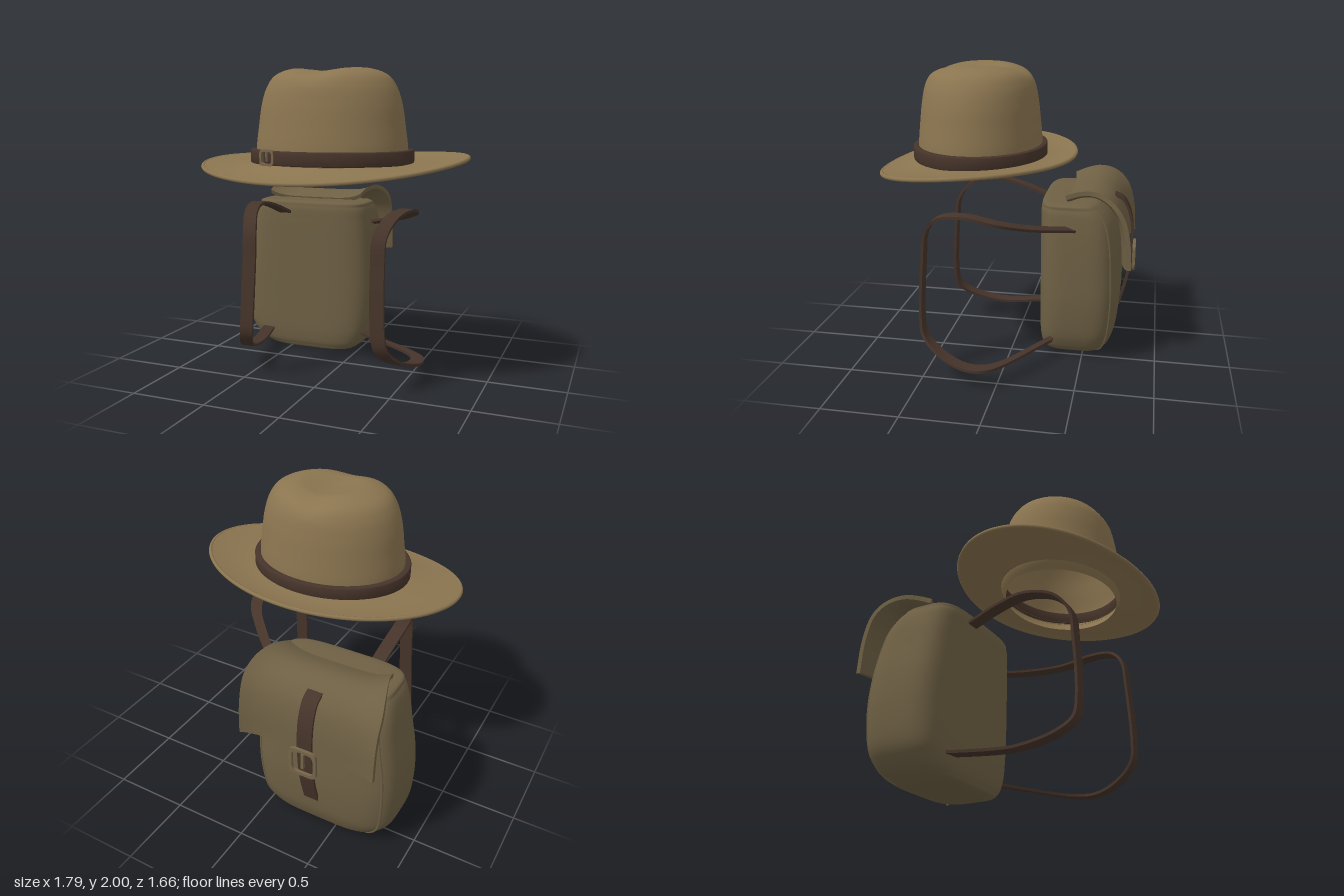
import * as THREE from 'three';
import { toCreasedNormals } from 'three/addons/utils/BufferGeometryUtils.js';
import { ParametricGeometry } from 'three/addons/geometries/ParametricGeometry.js';

const V = (x, y, z) => new THREE.Vector3(x, y, z);
const material = (color) => new THREE.MeshStandardMaterial({ color, side: THREE.DoubleSide });
const felt = material(0x8b7550);
const canvas = material(0x6e6044);
const leather = material(0x46342a);
const brass = material(0x75654a);

function part(name, geometry, mat) {
  const mesh = new THREE.Mesh(geometry, mat);
  mesh.name = name;
  return mesh;
}

// Smooth interpolation through the rows of a small table
function sample(rows, t) {
  const f = THREE.MathUtils.clamp(t, 0, 1) * (rows.length - 1);
  const i = Math.min(Math.floor(f), rows.length - 2), w = f - i;
  const at = (k) => rows[THREE.MathUtils.clamp(k, 0, rows.length - 1)];
  return rows[0].map((_, c) => {
    const [a, b, d, e] = [at(i - 1)[c], at(i)[c], at(i + 1)[c], at(i + 2)[c]];
    return b + 0.5 * w * (d - a + w * (2 * a - 5 * b + 4 * d - e + w * (3 * (b - d) + e - a)));
  });
}

// Flat strip swept along a path, its width lying along x
function ribbon(points, width, thick, { cols = 1, rows = 48, widthAt = () => 1, sag = 0 } = {}) {
  const curve = new THREE.CatmullRomCurve3(points.map((p) => V(...p)), false, 'centripetal');
  const g = new THREE.BoxGeometry(1, thick, 1, cols, 1, rows);
  const p = g.attributes.position;
  for (let i = 0; i < p.count; i++) {
    const t = THREE.MathUtils.clamp(p.getZ(i) + 0.5, 0, 1), x = p.getX(i);
    const c = curve.getPointAt(t);
    const n = curve.getTangentAt(t).cross(V(1, 0, 0)).normalize();
    c.addScaledVector(n, p.getY(i) - sag * Math.pow(Math.abs(2 * x), 5));
    p.setXYZ(i, c.x + x * width * widthAt(t), c.y, c.z);
  }
  g.computeVertexNormals();
  return g;
}

// Rounded buckle frame with a prong, facing +z
function buckle(name, w, h, bar, depth) {
  const outline = (target, a, b, r) => {
    target.moveTo(-a + r, -b).lineTo(a - r, -b).quadraticCurveTo(a, -b, a, -b + r)
      .lineTo(a, b - r).quadraticCurveTo(a, b, a - r, b)
      .lineTo(-a + r, b).quadraticCurveTo(-a, b, -a, b - r)
      .lineTo(-a, -b + r).quadraticCurveTo(-a, -b, -a + r, -b);
    return target;
  };
  const shape = outline(new THREE.Shape(), w / 2, h / 2, w * 0.25);
  shape.holes.push(outline(new THREE.Path(), w / 2 - bar, h / 2 - bar, w * 0.2));
  const group = new THREE.Group();
  group.name = name;
  const frame = new THREE.ExtrudeGeometry(shape, { depth, bevelEnabled: false, curveSegments: 6 });
  const prong = part(name + 'Prong', new THREE.BoxGeometry(bar * 0.8, h * 0.55, depth), brass);
  prong.position.set(0, h * 0.06, depth / 2);
  group.add(part(name + 'Frame', toCreasedNormals(frame, 0.6), brass), prong);
  return group;
}

function createHat() {
  const hat = new THREE.Group();
  hat.name = 'hat';

  // Crown: height, x radius, z radius, with a pinch across the top
  const crownRows = [
    [1.335, 0.44, 0.36], [1.4, 0.482, 0.392], [1.49, 0.495, 0.4], [1.64, 0.477, 0.387],
    [1.77, 0.457, 0.372], [1.88, 0.42, 0.348], [1.955, 0.36, 0.3], [1.995, 0.245, 0.2],
    [1.995, 0.12, 0.1], [1.992, 0.001, 0.001],
  ];
  const crown = new ParametricGeometry((u, v, out) => {
    const [y, rx, rz] = sample(crownRows, v);
    const a = -u * Math.PI * 2, x = rx * Math.cos(a);
    const top = THREE.MathUtils.smoothstep(y, 1.86, 1.99);
    out.set(x, y - 0.026 * top * Math.exp(-((x / 0.13) ** 2)), 0.2 + rz * Math.sin(a));
  }, 72, 45);
  hat.add(part('crown', crown, felt));

  // Brim: dips at the front, lifts at the sides, slightly uneven
  const brimPoint = (a, t, lift, out) => {
    const c = Math.cos(a), s = Math.sin(a);
    const edge = 1.397 - 0.052 * s + 0.02 * c + 0.025 * Math.cos(2 * a);
    const inner = 1.4 - 0.01 * s;
    const y = THREE.MathUtils.lerp(inner, edge, t) - 0.012 * Math.sin(Math.PI * t);
    return out.set((0.475 + 0.4 * t) * c, y + lift, 0.2 + (0.385 + 0.235 * t) * s);
  };
  for (const [name, lift, dir] of [['brimTop', 0.01, 1], ['brimUnderside', -0.01, -1]]) {
    hat.add(part(name, new ParametricGeometry((u, v, out) => {
      brimPoint(-dir * u * Math.PI * 2, 1 - v, lift, out);
    }, 96, 10), felt));
  }
  const rim = Array.from({ length: 64 }, (_, i) => brimPoint(i / 64 * Math.PI * 2, 1, 0, V(0, 0, 0)));
  hat.add(part('brimEdge',
    new THREE.TubeGeometry(new THREE.CatmullRomCurve3(rim, true), 128, 0.013, 8, true), felt));

  // Leather band and its buckle
  const ring = new THREE.Shape().absellipse(0, 0, 0.528, 0.427, 0, Math.PI * 2);
  ring.holes.push(new THREE.Path().absellipse(0, 0, 0.488, 0.393, 0, Math.PI * 2));
  const band = new THREE.ExtrudeGeometry(ring, {
    depth: 0.075, curveSegments: 48, bevelSize: 0.006, bevelThickness: 0.006, bevelSegments: 2,
  });
  band.rotateX(-Math.PI / 2).translate(0, 1.41, 0.2);
  hat.add(part('hatBand', toCreasedNormals(band, 0.9), leather));
  const clasp = buckle('hatBuckle', 0.105, 0.1, 0.014, 0.022);
  clasp.position.set(-0.265, 1.45, 0.568);
  clasp.rotation.y = -0.2;
  hat.add(clasp);
  return hat;
}

function createPack() {
  const pack = new THREE.Group();
  pack.name = 'backpack';

  // Body cross-sections: height, centre x, half width, front z, back z
  const bodyRows = [
    [0.003, -0.36, 0.002, -0.42, -0.423], [0.001, -0.36, 0.27, -0.24, -0.6],
    [0.035, -0.38, 0.375, -0.2, -0.66], [0.1, -0.395, 0.435, -0.185, -0.695],
    [0.2, -0.405, 0.475, -0.18, -0.72], [0.4, -0.405, 0.495, -0.18, -0.735],
    [0.6, -0.4, 0.49, -0.18, -0.73], [0.8, -0.385, 0.468, -0.18, -0.715],
    [0.95, -0.375, 0.445, -0.18, -0.68], [1.05, -0.365, 0.415, -0.185, -0.61],
    [1.088, -0.36, 0.36, -0.215, -0.54], [1.09, -0.36, 0.002, -0.38, -0.383],
  ];
  const power = (q) => Math.sign(q) * Math.pow(Math.abs(q), 0.5);
  const bodyPoint = (a, v, out) => {
    const [y, cx, hx, zf, zb] = sample(bodyRows, v);
    return out.set(cx + hx * power(Math.cos(a)), Math.max(y, 0),
      (zf + zb) / 2 + (zf - zb) / 2 * power(Math.sin(a)));
  };
  pack.add(part('packBody', new ParametricGeometry((u, v, out) => {
    bodyPoint(-u * Math.PI * 2, v, out);
  }, 96, 55), canvas));

  // Piping along the rear side edges
  for (const [name, a] of [['leftPiping', -0.72], ['rightPiping', Math.PI + 0.72]]) {
    const path = Array.from({ length: 24 }, (_, i) => bodyPoint(a, 0.12 + 0.78 * i / 23, V(0, 0, 0)));
    pack.add(part(name,
      new THREE.TubeGeometry(new THREE.CatmullRomCurve3(path), 60, 0.008, 6), canvas));
  }

  // Flap folded over the top and down the back
  const flap = ribbon([
    [-0.365, 1.085, -0.38], [-0.365, 1.12, -0.47], [-0.365, 1.13, -0.55], [-0.365, 1.1, -0.63],
    [-0.365, 1.02, -0.7], [-0.365, 0.88, -0.74], [-0.365, 0.68, -0.755],
  ], 0.92, 0.03, {
    cols: 24, rows: 32, sag: 0.045,
    widthAt: (t) => 0.78 + 0.22 * THREE.MathUtils.smoothstep(t, 0, 0.5),
  });
  pack.add(part('packFlap', flap, canvas));

  // Closing strap and buckle on the back
  pack.add(part('closingStrap', ribbon([
    [-0.37, 1.08, -0.67], [-0.37, 1.05, -0.73], [-0.37, 0.97, -0.775], [-0.37, 0.84, -0.8],
    [-0.37, 0.6, -0.795], [-0.37, 0.44, -0.77], [-0.37, 0.27, -0.725],
  ], 0.1, 0.016), leather));
  const clasp = buckle('packBuckle', 0.19, 0.2, 0.022, 0.02);
  clasp.position.set(-0.365, 0.64, -0.81);
  clasp.rotation.y = Math.PI;
  pack.add(clasp);

  // Shoulder straps share one side outline; x differs along each strap
  const outline = [
    [0.92, -0.45], [1.01, -0.18], [1.075, 0], [1.118, 0.2], [1.085, 0.38], [0.98, 0.47], [0.8, 0.493],
    [0.4, 0.512], [0.29, 0.495], [0.2, 0.4], [0.13, 0.2], [0.125, 0.05], [0.13, -0.3],
  ];
  const straps = {
    leftShoulderStrap: [0.02, 0.33, 0.48, 0.5, 0.46, 0.42, 0.415, 0.425, 0.44, 0.49, 0.56, 0.54, 0.04],
    rightShoulderStrap: [-0.5, -0.52, -0.53, -0.53, -0.49, -0.455, -0.45, -0.465, -0.48, -0.53, -0.59, -0.61, -0.7],
  };
  for (const [name, xs] of Object.entries(straps)) {
    const path = outline.map(([y, z], i) => [xs[i], y, z]);
    pack.add(part(name, ribbon(path, 0.09, 0.018, { rows: 96 }), leather));
  }
  return pack;
}

export function createModel() {
  const model = new THREE.Group();
  model.name = 'hatAndBackpack';
  model.add(createHat(), createPack());
  return model;
}
